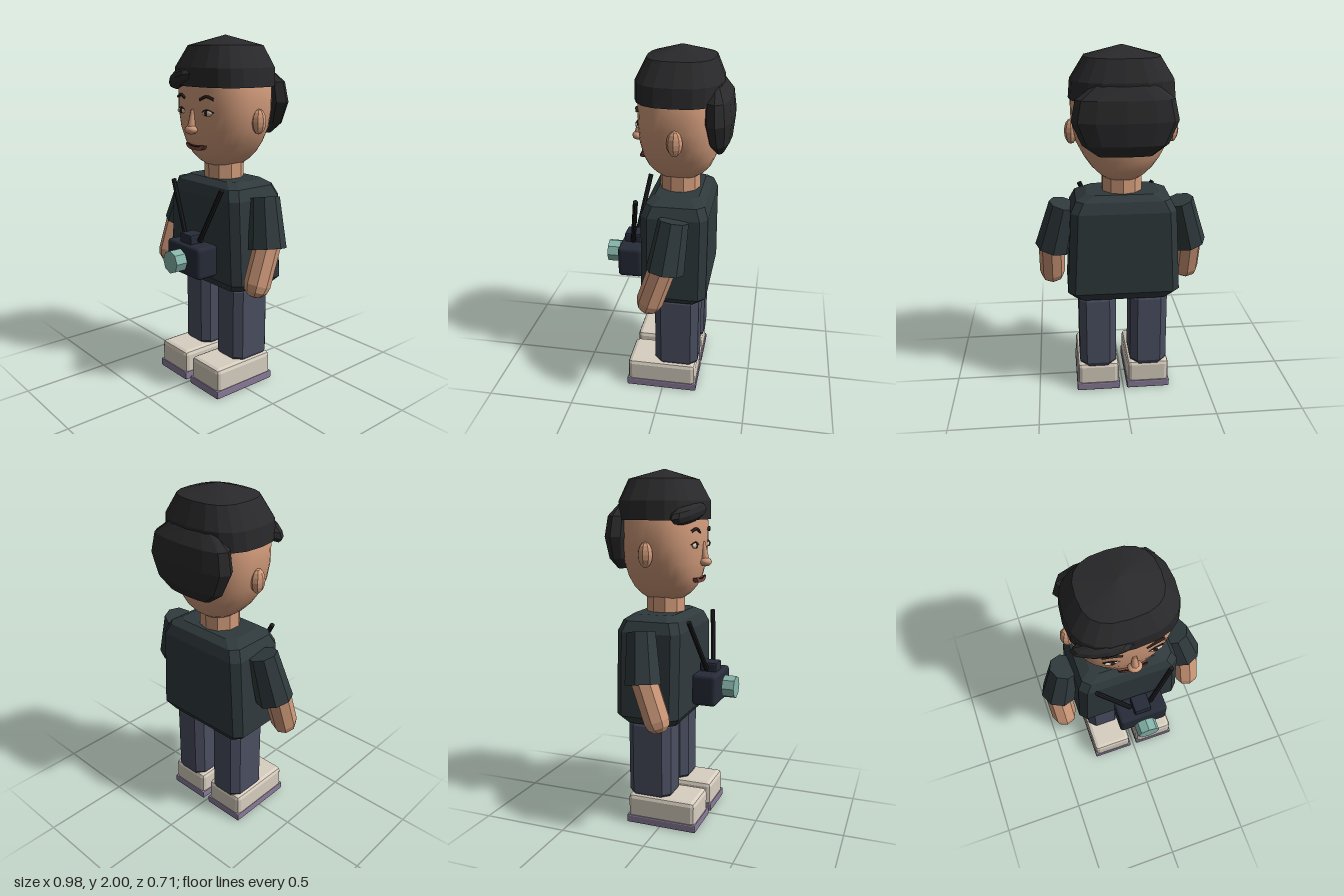
import * as THREE from 'three';
import { RoundedBoxGeometry } from 'three/addons/geometries/RoundedBoxGeometry.js';

const V = (x, y, z) => new THREE.Vector3(x, y, z);
const mat = (color, flatShading = true) => new THREE.MeshStandardMaterial({ color, flatShading });
const skin = mat(0xd09a7a), skinSmooth = mat(0xd09a7a, false), hair = mat(0x29292b), shirt = mat(0x2f393c);
const trousers = mat(0x4a4e60), canvas = mat(0xd8cfc0), rubber = mat(0x8a7c98), gear = mat(0x262b38);
const glass = mat(0x86b5aa), strapMat = mat(0x1c1d20), lipMat = mat(0x82493f, false);
const eyeMat = mat(0xd8c4b2, false), dark = mat(0x2a2019, false);

// Cross-sections: superellipse with n points, and rectangle with cut corners
const oval = (n, e) => (rx, rz) => Array.from({ length: n }, (_, i) => {
  const t = (i / n) * Math.PI * 2, c = Math.cos(t), s = Math.sin(t);
  return [rx * Math.sign(c) * Math.abs(c) ** (2 / e), rz * Math.sign(s) * Math.abs(s) ** (2 / e)];
});
const cutRect = (k) => (rx, rz) => {
  const x = rx - k, z = rz - k;
  return [[rx, -z], [rx, z], [x, rz], [-x, rz], [-rx, z], [-rx, -z], [-x, -rz], [x, -rz]];
};

// Closed skin over rows of [y, half width, half depth, centre z], bottom to top
function loft(rows, section) {
  const pos = [], idx = [];
  let n = 0;
  for (const [y, rx, rz, cz] of rows) {
    const ring = section(rx, rz);
    n = ring.length;
    for (const [x, z] of ring) pos.push(x, y, z + cz);
  }
  const last = rows.length - 1, bottom = rows.length * n, top = bottom + 1;
  pos.push(0, rows[0][0], rows[0][3], 0, rows[last][0], rows[last][3]);
  for (let j = 0; j < n; j++) {
    const k = (j + 1) % n;
    for (let i = 0; i < last; i++) {
      const a = i * n + j, b = i * n + k;
      idx.push(a, a + n, b, b, a + n, b + n);
    }
    idx.push(bottom, j, k, top, last * n + k, last * n + j);
  }
  const g = new THREE.BufferGeometry();
  g.setAttribute('position', new THREE.Float32BufferAttribute(pos, 3));
  g.setIndex(idx);
  g.computeVertexNormals();
  return g;
}

export function createModel() {
  const root = new THREE.Group();
  const add = (name, geo, material, x = 0, y = 0, z = 0) => {
    const m = new THREE.Mesh(geo, material);
    m.name = name;
    m.position.set(x, y, z);
    root.add(m);
    return m;
  };
  const ball = (name, material, p, r, w = 10, h = 6) => {
    const m = add(name, new THREE.SphereGeometry(1, w, h), material, ...p);
    m.scale.set(...r);
    return m;
  };
  // Aligns a y-long geometry with the line from a to b
  const between = (name, geo, material, a, b) => {
    const m = add(name, geo, material);
    m.position.copy(a).add(b).multiplyScalar(0.5);
    m.quaternion.setFromUnitVectors(V(0, 1, 0), b.clone().sub(a).normalize());
    return m;
  };
  const line = (name, material, pts, r) =>
    add(name, new THREE.TubeGeometry(new THREE.CatmullRomCurve3(pts), 10, r, 6), material);

  // Torso and neck
  add('shirt', loft([
    [0.61, 0.27, 0.15, -0.066], [0.66, 0.315, 0.183, -0.066], [1.13, 0.29, 0.183, -0.066],
    [1.19, 0.26, 0.16, -0.066], [1.22, 0.2, 0.12, -0.066],
  ], cutRect(0.04)), shirt);
  add('neck', new THREE.CylinderGeometry(0.113, 0.113, 0.16, 10), skin, 0, 1.25, -0.06);

  // Head
  add('head', loft([
    [1.27, 0.04, 0.045, -0.06], [1.285, 0.08, 0.09, -0.06], [1.32, 0.128, 0.14, -0.06],
    [1.36, 0.168, 0.175, -0.06], [1.42, 0.21, 0.202, -0.06], [1.5, 0.252, 0.218, -0.06],
    [1.6, 0.273, 0.225, -0.06], [1.72, 0.276, 0.225, -0.06], [1.82, 0.24, 0.2, -0.06], [1.9, 0.15, 0.13, -0.06],
  ], oval(32, 2.35)), skinSmooth);

  // Hair: cap, back and swept fringe
  add('hairCap', loft([
    [1.73, 0.285, 0.232, -0.058], [1.83, 0.276, 0.234, -0.06],
    [1.945, 0.203, 0.182, -0.067], [2.0, 0.004, 0.004, -0.067],
  ], oval(20, 2.7)), hair);
  add('hairBack', loft([
    [1.46, 0.14, 0.025, -0.285], [1.52, 0.225, 0.062, -0.28], [1.64, 0.278, 0.083, -0.272],
    [1.75, 0.255, 0.075, -0.265], [1.82, 0.16, 0.03, -0.258],
  ], oval(12, 2.4)), hair);
  const fringe = ball('hairFringe', hair, [-0.152, 1.765, 0.128], [0.155, 0.052, 0.052], 10, 6);
  fringe.rotation.set(0, -0.3, 0.22);

  // Face
  ball('noseTip', skinSmooth, [0, 1.5, 0.175], [0.04, 0.025, 0.034], 12, 8);
  const bridge = add('noseBridge', new THREE.CylinderGeometry(0.011, 0.024, 0.11, 8), skinSmooth, 0, 1.555, 0.168);
  bridge.rotation.x = -0.12;
  const mouth = new THREE.Shape();
  mouth.moveTo(-0.08, 1.418);
  mouth.quadraticCurveTo(0, 1.405, 0.08, 1.418);
  mouth.quadraticCurveTo(0.065, 1.388, 0.03, 1.388);
  mouth.lineTo(-0.03, 1.388);
  mouth.quadraticCurveTo(-0.065, 1.388, -0.08, 1.418);
  add('lips', new THREE.ExtrudeGeometry(mouth, { depth: 0.035, bevelEnabled: false }), lipMat, 0, 0, 0.118);
  line('mouthLine', dark, [V(-0.08, 1.418, 0.145), V(0, 1.409, 0.154), V(0.08, 1.418, 0.145)], 0.004);

  for (const [side, s] of [['left', 1], ['right', -1]]) {
    ball(side + 'Ear', skin, [s * 0.274, 1.55, -0.07], [0.036, 0.068, 0.042], 8, 8);
    ball(side + 'Eye', eyeMat, [s * 0.11, 1.595, 0.151], [0.042, 0.016, 0.012], 12, 8);
    ball(side + 'Iris', dark, [s * 0.11, 1.595, 0.158], [0.015, 0.015, 0.008], 10, 6);
    line(side + 'Eyelid', dark, [V(s * 0.064, 1.594, 0.157), V(s * 0.11, 1.612, 0.155), V(s * 0.156, 1.598, 0.143)], 0.004);
    line(side + 'Eyebrow', dark, [V(s * 0.062, 1.664, 0.161), V(s * 0.112, 1.683, 0.157), V(s * 0.158, 1.668, 0.143)], 0.008);

    // Arm: short sleeve and bare forearm
    between(side + 'Sleeve', new THREE.CylinderGeometry(0.082, 0.104, 0.28, 8), shirt,
      V(s * 0.39, 0.875, -0.04), V(s * 0.325, 1.145, -0.075));
    between(side + 'Forearm', new THREE.CapsuleGeometry(0.074, 0.24, 3, 8), skin,
      V(s * 0.4, 0.69, 0.042), V(s * 0.4, 0.92, -0.035));

    // Leg and shoe
    add(side + 'Leg', loft([
      [0.15, 0.09, 0.108, -0.077], [0.19, 0.107, 0.127, -0.077],
      [0.59, 0.107, 0.127, -0.077], [0.64, 0.09, 0.108, -0.077],
    ], cutRect(0.04)), trousers, s * 0.148);
    add(side + 'Shoe', new RoundedBoxGeometry(0.245, 0.15, 0.405, 1, 0.025), canvas, s * 0.148, 0.102, 0.007);
    add(side + 'Sole', new RoundedBoxGeometry(0.255, 0.048, 0.418, 1, 0.008), rubber, s * 0.148, 0.027, 0.007);
  }

  // Camera hanging from a strap
  add('cameraBody', new RoundedBoxGeometry(0.29, 0.18, 0.14, 2, 0.02), gear, 0.035, 0.79, 0.203);
  add('viewfinder', new RoundedBoxGeometry(0.1, 0.08, 0.1, 1, 0.01), gear, 0.035, 0.892, 0.2);
  const lens = add('lens', new THREE.CylinderGeometry(0.065, 0.065, 0.07, 8), glass, 0.035, 0.79, 0.32);
  lens.rotation.x = Math.PI / 2;
  for (const [name, x0, x1] of [['rightStrap', -0.025, -0.208], ['leftStrap', 0.095, 0.23]])
    between(name, new THREE.CylinderGeometry(0.014, 0.014, 0.3 + Math.abs(x1 - x0) * 0.25, 8), strapMat,
      V(x0, 0.89, 0.198), V(x1, 1.2, 0.148));
  return root;
}
